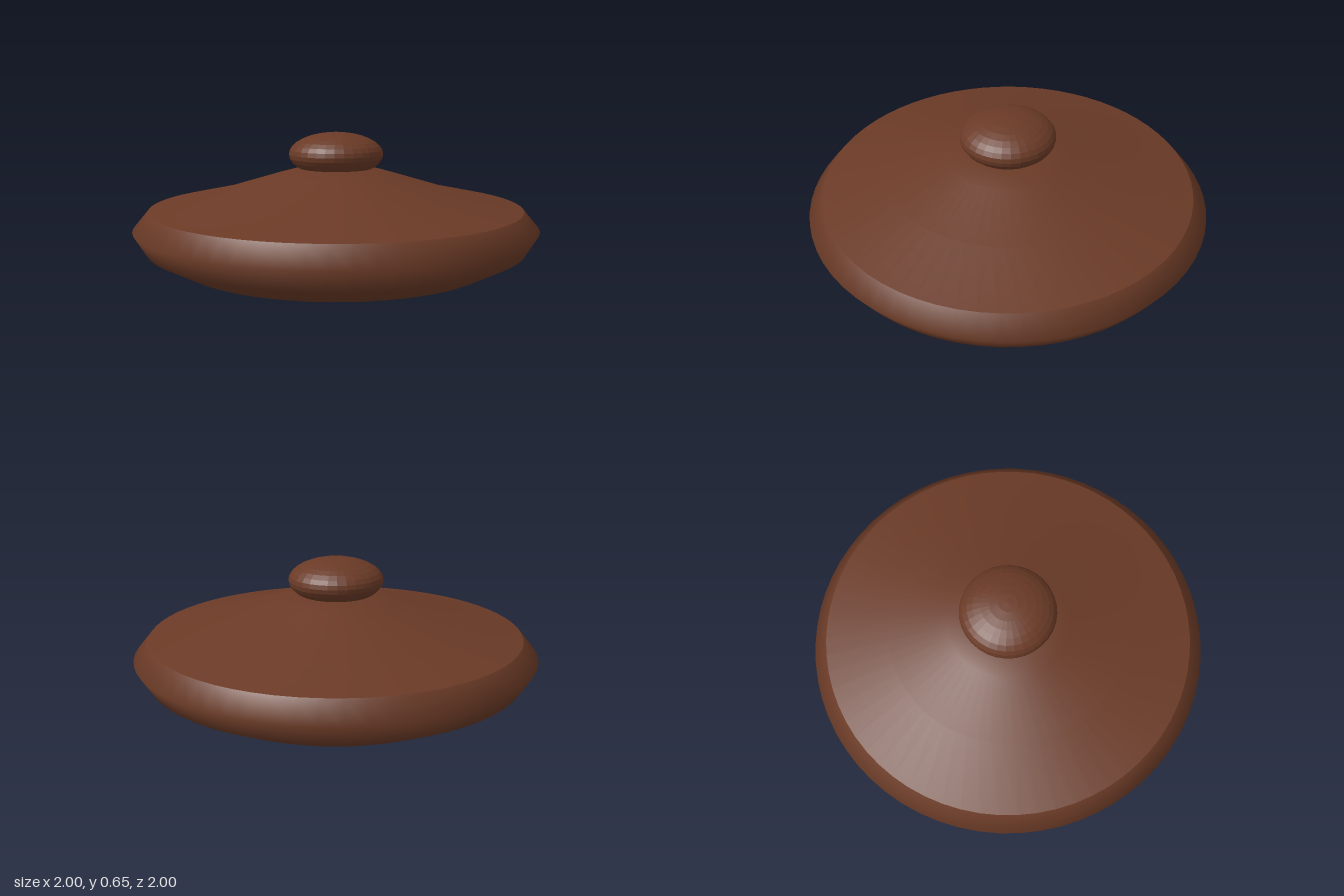
import * as THREE from 'three';

export function createModel() {
  const brown = new THREE.MeshStandardMaterial({ color: 0x6a3a26 });
  brown.name = 'clay brown';
  const lid = new THREE.Group();
  lid.name = 'lid';

  const add = (name, geometry) => {
    const mesh = new THREE.Mesh(geometry, brown);
    mesh.name = name;
    lid.add(mesh);
    return mesh;
  };
  const lathe = (points) =>
    new THREE.LatheGeometry(points.map(([r, y]) => new THREE.Vector2(r, y)), 64);

  // Flat underside curving softly into the bulging rim
  add('rim', lathe([[0, 0], [0.7, 0], [0.78, 0.005], [0.94, 0.09], [1, 0.19], [0.925, 0.28]]));

  // Gently sloping roof, meeting the rim at a sharp edge
  add('roof', lathe([[0.925, 0.28], [0.6, 0.35], [0.3, 0.44], [0.19, 0.47], [0, 0.475]]));

  // Faceted, flattened knob sunk slightly into the roof
  const facets = new THREE.SphereGeometry(1, 32, 16).toNonIndexed();
  facets.scale(0.236, 0.11, 0.236);
  facets.computeVertexNormals();
  add('knob', facets).position.y = 0.54;

  return lid;
}
